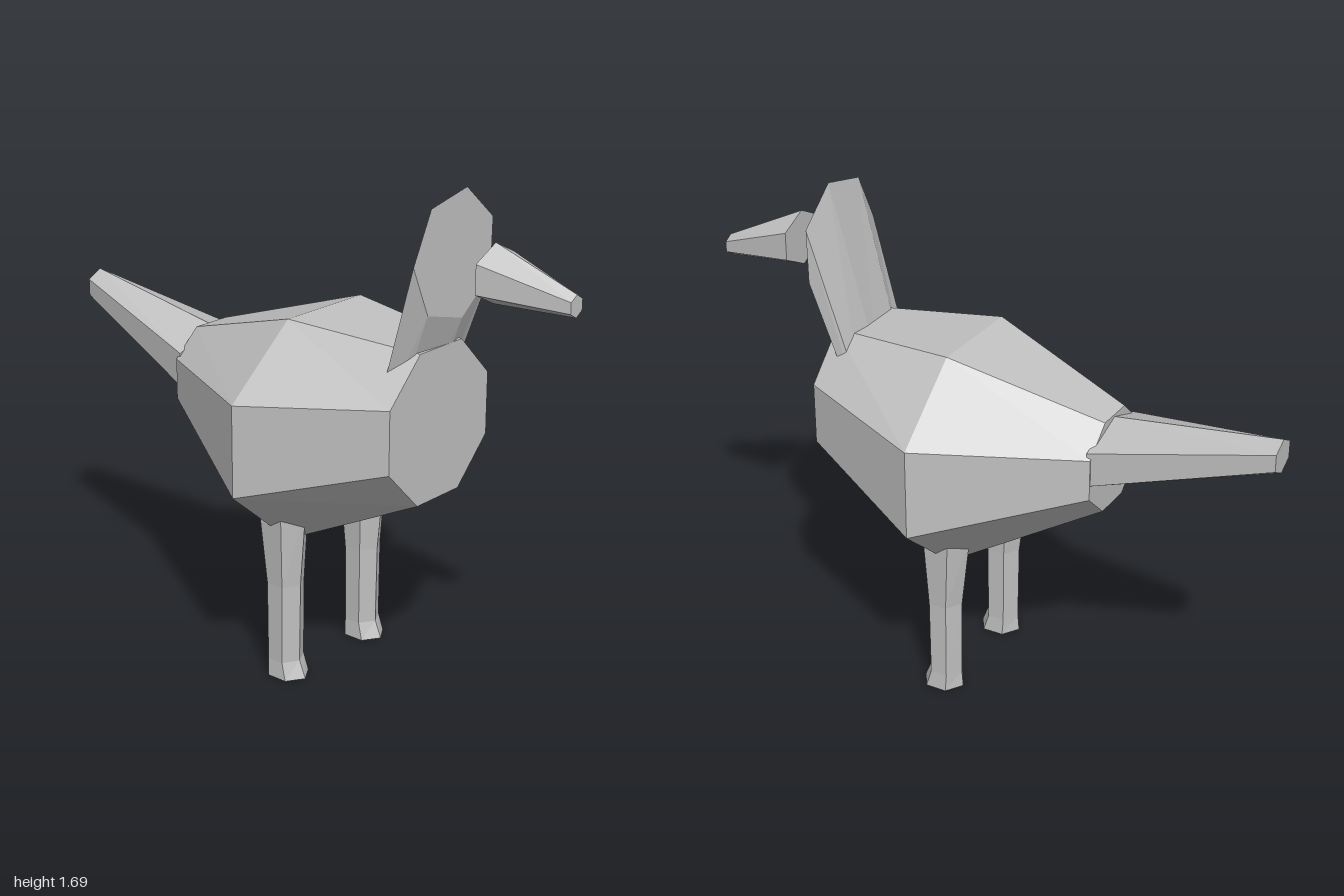
import * as THREE from 'three';

const grey = new THREE.MeshStandardMaterial({ color: 0xc0c0c0, flatShading: true });
grey.name = 'plain grey';

const V = (x, y, z) => new THREE.Vector3(x, y, z);

// Regular ring facing +z, starting at angle `start` in degrees
function ringZ(n, start, cx, cy, rx, ry, z, tilt = 0) {
  return Array.from({ length: n }, (_, j) => {
    const a = THREE.MathUtils.degToRad(start + (360 * j) / n);
    const dy = Math.sin(a) * ry;
    return V(cx + Math.cos(a) * rx, cy + dy, z + tilt * dy);
  });
}

// Regular six-sided ring facing +y
function ringY(cx, cz, rx, rz, y) {
  return Array.from({ length: 6 }, (_, j) => {
    const a = Math.PI / 2 + (Math.PI * j) / 3;
    return V(cx + Math.cos(a) * rx, y, cz - Math.sin(a) * rz);
  });
}

// Octagon facing +z: wide half-width, narrow half-width, and four heights
function octagon(wide, narrow, y0, y1, y2, y3, z) {
  return [
    V(wide, y1, z), V(wide, y2, z), V(narrow, y3, z), V(-narrow, y3, z),
    V(-wide, y2, z), V(-wide, y1, z), V(-narrow, y0, z), V(narrow, y0, z),
  ];
}

// Closed flat-faced skin through successive rings
function loft(name, rings) {
  const pts = [];
  const n = rings[0].length;
  const last = rings[rings.length - 1];
  for (let i = 0; i + 1 < rings.length; i++) {
    for (let j = 0; j < n; j++) {
      const k = (j + 1) % n;
      const a = rings[i][j], b = rings[i][k], c = rings[i + 1][k], d = rings[i + 1][j];
      pts.push(a, b, c, a, c, d);
    }
  }
  for (let j = 1; j + 1 < n; j++) {
    pts.push(rings[0][0], rings[0][j + 1], rings[0][j]);
    pts.push(last[0], last[j], last[j + 1]);
  }
  const geometry = new THREE.BufferGeometry().setFromPoints(pts);
  geometry.computeVertexNormals();
  const mesh = new THREE.Mesh(geometry, grey);
  mesh.name = name;
  return mesh;
}

export function createModel() {
  const bird = new THREE.Group();
  bird.name = 'bird';

  // Eight-sided body, widest in the middle
  bird.add(loft('body', [
    octagon(0.17, 0.07, 0.755, 0.845, 0.985, 1.075, -0.42),
    octagon(0.445, 0.18, 0.475, 0.7, 1.01, 1.23, 0.09),
    octagon(0.25, 0.105, 0.695, 0.84, 1.05, 1.195, 0.56),
  ]));

  // Seven-sided neck, cut off flat at the front
  bird.add(loft('neck', [
    ringZ(7, 76, 0, 0.9, 0.17, 0.17, 0.42, 0.12),
    ringZ(7, 76, 0.02, 1.485, 0.207, 0.21, 0.59),
  ]));

  // Beak, standing clear of the neck
  bird.add(loft('beak', [
    ringZ(6, 90, 0.022, 1.456, 0.113, 0.095, 0.735),
    ringZ(6, 90, 0.065, 1.395, 0.035, 0.036, 1),
  ]));

  // Raised tapering tail
  bird.add(loft('tail', [
    ringZ(6, 90, 0.035, 1.093, 0.064, 0.058, -1),
    ringZ(6, 90, 0, 0.948, 0.193, 0.117, -0.405),
  ]));

  // Legs with a flared hip and a small foot
  for (const [name, s] of [['leftLeg', 1], ['rightLeg', -1]]) {
    bird.add(loft(name, [
      ringY(s * 0.2, 0.105, 0.068, 0.075, 0),
      ringY(s * 0.2, 0.095, 0.063, 0.06, 0.06),
      ringY(s * 0.2, 0.095, 0.064, 0.064, 0.335),
      ringY(s * 0.203, 0.09, 0.08, 0.094, 0.61),
    ]));
  }
  return bird;
}
